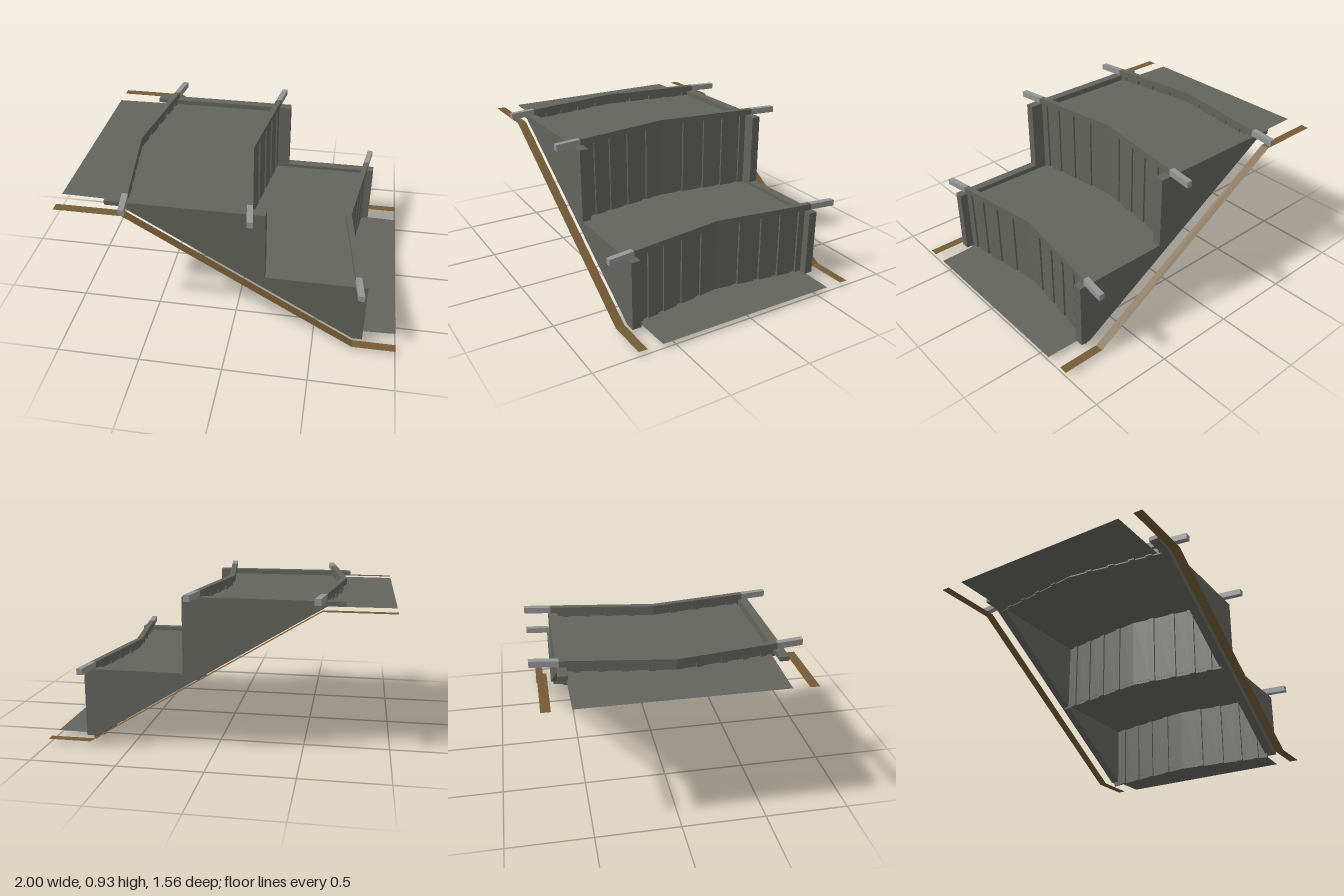
import * as THREE from 'three';

const MID = 0.02;   // z of the bend in each barrier
const LEAN = 0.145; // x offset per unit of z away from the bend

const mat = (name, color) => {
  const m = new THREE.MeshStandardMaterial({ color, side: THREE.DoubleSide });
  m.name = name;
  return m;
};

// x of a bent barrier line at a given z
const bend = (x, z) => x + LEAN * Math.abs(z - MID);

// Plan outline given as [x, z] points
function planShape(points) {
  return new THREE.Shape(points.map(([x, z]) => new THREE.Vector2(x, -z)));
}

// Upright prism over a plan outline
function prism(points, y0, y1) {
  const g = new THREE.ExtrudeGeometry(planShape(points), { depth: y1 - y0, bevelEnabled: false });
  return g.rotateX(-Math.PI / 2).translate(0, y0, 0);
}

// Level sheet over a plan outline
function level(points, y) {
  return new THREE.ShapeGeometry(planShape(points)).rotateX(-Math.PI / 2).translate(0, y, 0);
}

// Thin sheet following an [x, y] profile between two z values
function sheet(profile, z0, z1) {
  const pos = [];
  for (let i = 0; i < profile.length - 1; i++) {
    const [xa, ya] = profile[i], [xb, yb] = profile[i + 1];
    pos.push(xa, ya, z1, xb, yb, z1, xb, yb, z0, xa, ya, z1, xb, yb, z0, xa, ya, z0);
  }
  const g = new THREE.BufferGeometry();
  g.setAttribute('position', new THREE.Float32BufferAttribute(pos, 3));
  g.computeVertexNormals();
  return g;
}

// Beam outline following the bend through the listed z values
function bentStrip(x, zs, width) {
  return [
    ...zs.map(z => [bend(x, z), z]),
    ...[...zs].reverse().map(z => [bend(x, z) + width, z]),
  ];
}

// Plan outline of a wall of wide panels with narrow grooves between them
function ribbedOutline(x) {
  const half = 0.615, step = 0.006, groove = 0.019;
  const line = [[-half, step]];
  for (const d of [-0.54, -0.41, -0.28, -0.135, 0, 0.135, 0.28, 0.41, 0.52]) {
    const z = MID + d;
    if (d === 0) line.push([z, step]);
    else line.push([z - groove, step], [z - groove, -step], [z + groove, -step], [z + groove, step]);
  }
  line.push([half, step]);
  const at = ([z, o], t) => [bend(x, z) + o + t, z];
  return [...line.map(p => at(p, 0)), ...[...line].reverse().map(p => at(p, 0.012))];
}

export function createModel() {
  const model = new THREE.Group();
  const stone = mat('stone grey', 0x64645e);
  const pale = mat('pale grey', 0x959595);
  const brown = mat('earth brown', 0x745b36);
  const add = (name, geometry, material, parent = model) => {
    const m = new THREE.Mesh(geometry, material);
    m.name = name;
    parent.add(m);
  };

  // Path strips running down beside the steps
  const slope = [[-1, 0.85], [-0.6, 0.85], [0.74, 0.03], [1, 0.03]];
  add('backBankStrip', sheet(slope, -0.74, -0.687), brown);
  add('frontBankStrip', sheet(slope, 0.675, 0.73), brown);

  // Stepped side walls
  const side = new THREE.Shape([
    [-0.722, 0.89], [-0.722, 0.863], [-0.625, 0.863], [0.74, 0.028], [0.8, 0.028],
    [0.8, 0.442], [0.2, 0.442], [0.2, 0.89],
  ].map(([x, y]) => new THREE.Vector2(x, y)));
  for (const [name, z] of [['backSideWall', -0.632], ['frontSideWall', 0.602]]) {
    const g = new THREE.ExtrudeGeometry(side, { depth: 0.055, bevelEnabled: false });
    add(name, g.translate(0, 0, z), stone);
  }

  // Three bent barriers: ribbed wall, crest and projecting beam ends
  const barriers = [
    { name: 'upperBarrier', x: -0.71, bottom: 0.845, top: 0.89 },
    { name: 'middleBarrier', x: 0.003, bottom: 0.4, top: 0.89 },
    { name: 'lowerBarrier', x: 0.637, bottom: 0, top: 0.447 },
  ];
  for (const b of barriers) {
    const group = new THREE.Group();
    group.name = b.name;
    model.add(group);
    const capTop = b.top + 0.037;
    add('ribbedWall', prism(ribbedOutline(b.x + 0.013), b.bottom, b.top), stone, group);
    add('crest', prism(bentStrip(b.x, [-0.617, MID, 0.617], 0.035), b.top, capTop), stone, group);
    add('backBeamEnd', prism(bentStrip(b.x, [-0.78, -0.617], 0.035), b.top, capTop), pale, group);
    add('frontBeamEnd', prism(bentStrip(b.x, [0.617, 0.777], 0.035), b.top, capTop), pale, group);
  }

  // Level ground between the barriers and out to both ends
  const zs = [-0.587, MID, 0.59];
  const line = x => zs.map(z => [bend(x, z), z]);
  const leftEnd = [[-1, -0.58], [-1, 0.58]];
  const rightEnd = [[1, -0.58], [1, 0.58]];
  const floors = [
    ['upperApron', leftEnd, line(-0.69), 0.853],
    ['upperTerrace', line(-0.69), line(0.02), 0.86],
    ['lowerTerrace', line(0.02), line(0.655), 0.42],
    ['lowerApron', line(0.655), rightEnd, 0.028],
  ];
  for (const [name, from, to, y] of floors) {
    add(name, level([...from, ...[...to].reverse()], y), stone);
  }
  return model;
}
